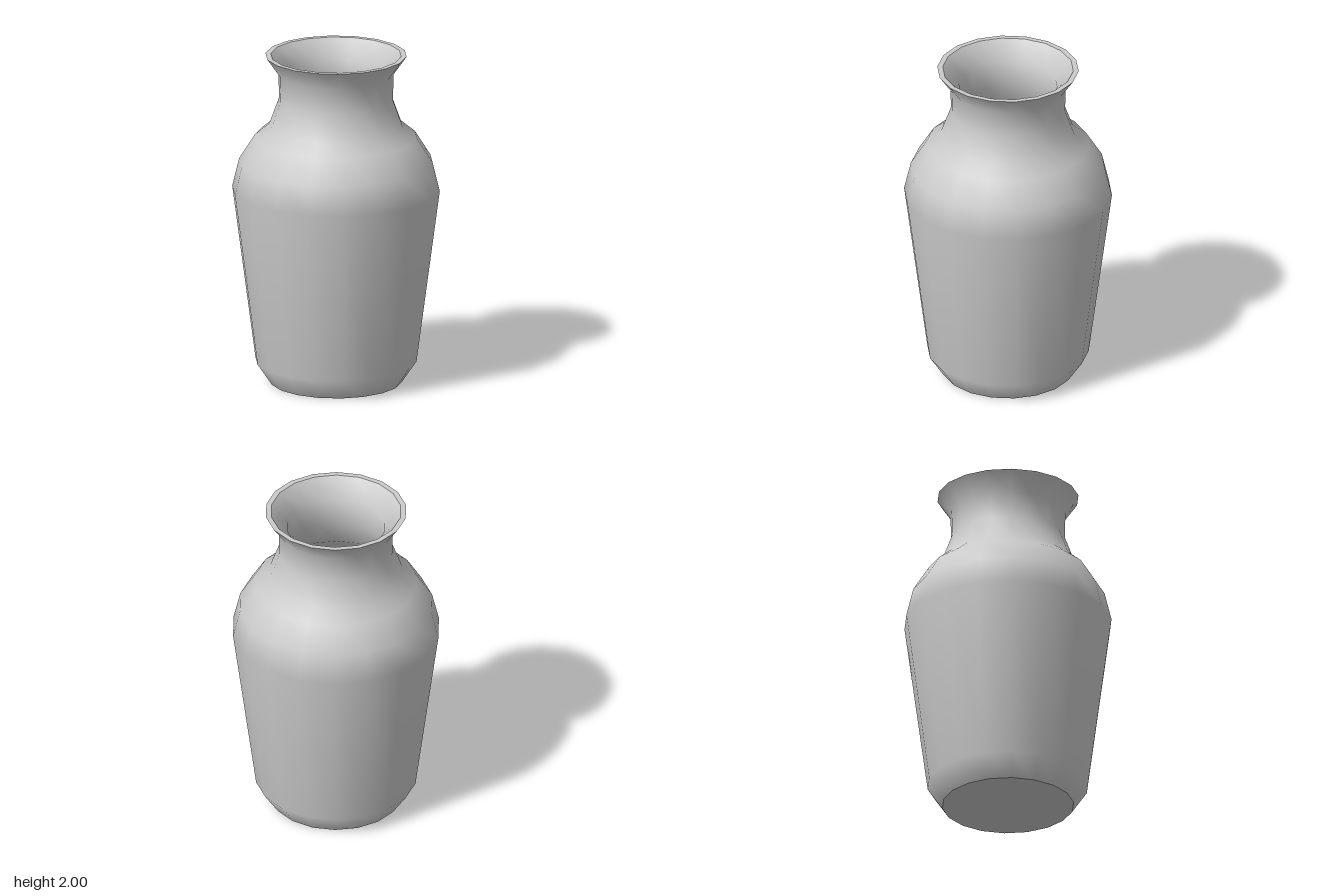
import * as THREE from 'three';

const SIDES = 18;

export function createModel() {
  const group = new THREE.Group();
  group.name = 'vase';
  const material = new THREE.MeshStandardMaterial({ color: 0xcccccc });

  // Each surface is its own lathe: smooth within, sharp where surfaces meet
  const addLathe = (name, profile) => {
    const points = profile.map(([r, y]) => new THREE.Vector2(r, y));
    const mesh = new THREE.Mesh(new THREE.LatheGeometry(points, SIDES), material);
    mesh.name = name;
    group.add(mesh);
  };

  // Underside, drawn from the centre outward so it faces down
  addLathe('base', [[0, 0], [0.39, 0]]);

  // Tapered body, rounded shoulder, neck and flared mouth
  addLathe('outerWall', [
    [0.39, 0], [0.478, 0.13], [0.616, 1.18], [0.575, 1.35], [0.481, 1.5],
    [0.396, 1.57], [0.338, 1.73], [0.342, 1.89], [0.419, 2],
  ]);

  // Flat lip
  addLathe('rim', [[0.419, 2], [0.387, 2]]);

  // Hollow interior, drawn downward so it faces the axis
  addLathe('innerWall', [
    [0.387, 2], [0.291, 1.89], [0.29, 1.73], [0.352, 1.555], [0.445, 1.47],
    [0.53, 1.335], [0.566, 1.18], [0.43, 0.14], [0.365, 0.05],
  ]);

  // Inside bottom
  addLathe('floor', [[0.365, 0.05], [0, 0.05]]);

  return group;
}
